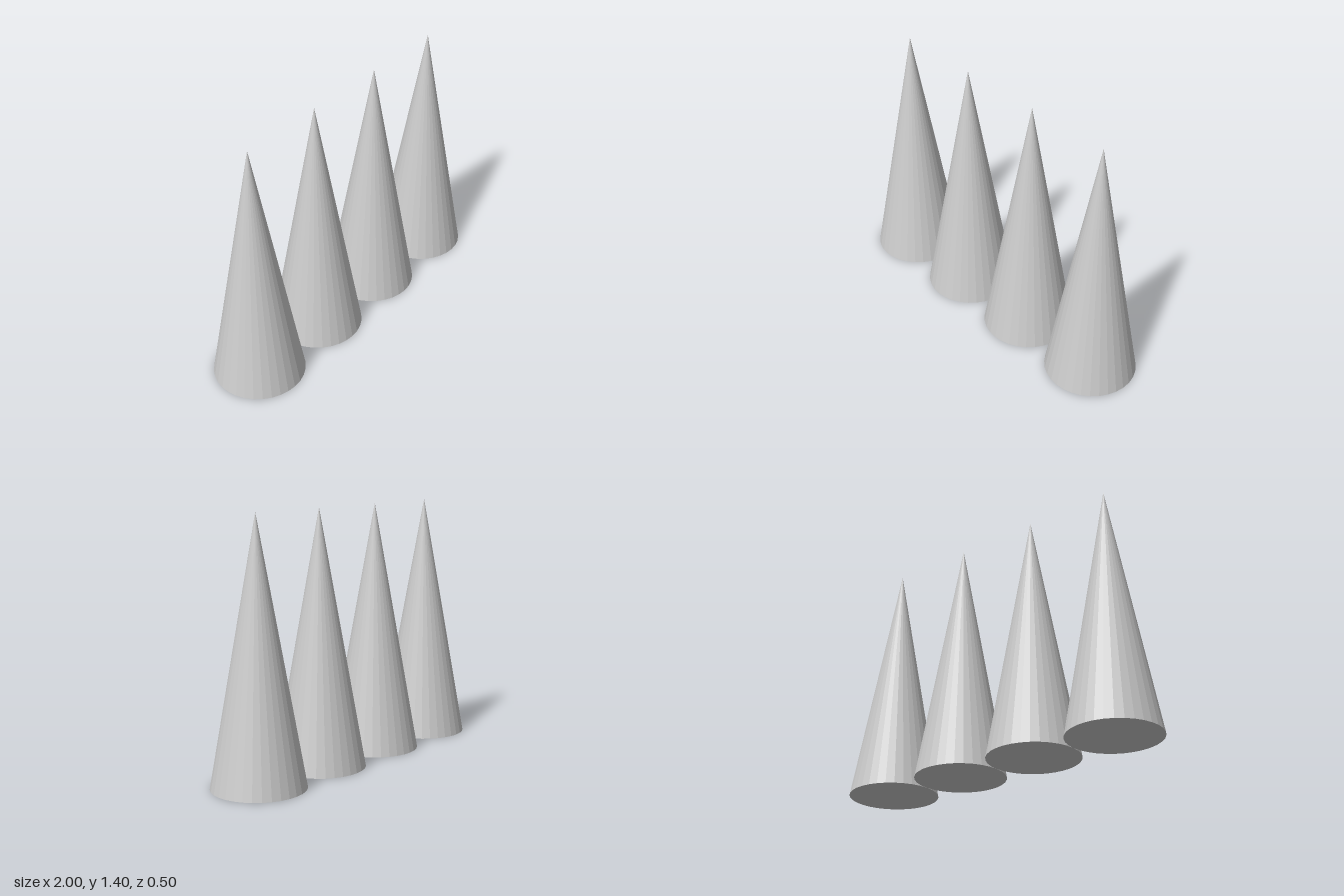
import * as THREE from 'three';

const RADIUS = 0.25;
const HEIGHT = 1.4;
const COUNT = 4;

export function createModel() {
  const group = new THREE.Group();
  group.name = 'spikeRow';

  const grey = new THREE.MeshStandardMaterial({ color: 0xcccccc, flatShading: true });
  grey.name = 'light grey';

  // One closed cone, standing on the ground
  const cone = new THREE.ConeGeometry(RADIUS, HEIGHT, 32);
  cone.translate(0, HEIGHT / 2, 0);

  // Row of spikes whose bases touch
  for (let i = 0; i < COUNT; i++) {
    const spike = new THREE.Mesh(cone, grey);
    spike.name = `spike${i + 1}`;
    spike.position.x = (i - (COUNT - 1) / 2) * RADIUS * 2;
    group.add(spike);
  }
  return group;
}
